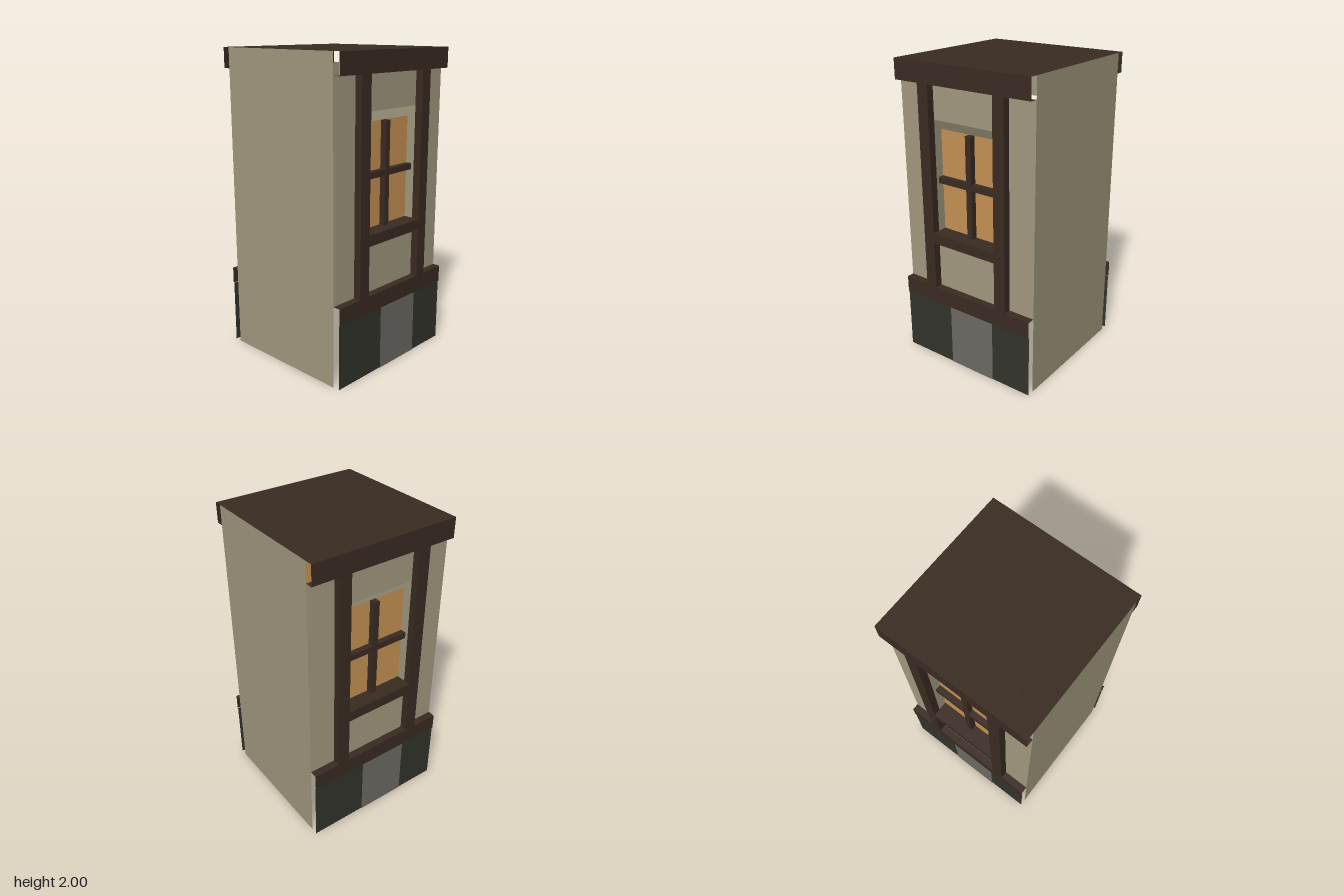
import * as THREE from 'three';
import { mergeGeometries } from 'three/addons/utils/BufferGeometryUtils.js';

const material = (name, color) => new THREE.MeshStandardMaterial({ name, color, side: THREE.DoubleSide });

// Flat rectangles facing x, y or z
const faceX = (x, y0, y1, z0, z1) =>
  new THREE.PlaneGeometry(z1 - z0, y1 - y0).rotateY(Math.PI / 2).translate(x, (y0 + y1) / 2, (z0 + z1) / 2);
const faceY = (y, x0, x1, z0, z1) =>
  new THREE.PlaneGeometry(x1 - x0, z1 - z0).rotateX(-Math.PI / 2).translate((x0 + x1) / 2, y, (z0 + z1) / 2);
const faceZ = (z, x0, x1, y0, y1) =>
  new THREE.PlaneGeometry(x1 - x0, y1 - y0).translate((x0 + x1) / 2, (y0 + y1) / 2, z);
const box = (x0, x1, y0, y1, z0, z1) =>
  new THREE.BoxGeometry(x1 - x0, y1 - y0, z1 - z0).translate((x0 + x1) / 2, (y0 + y1) / 2, (z0 + z1) / 2);

export function createModel() {
  const plaster = material('plaster', 0xa39a80);
  const timber = material('dark timber', 0x3a2c22);
  const glass = material('amber glass', 0xc89355);
  const darkStone = material('dark stone', 0x33342c);
  const greyStone = material('grey stone', 0x6d6b65);

  const part = (group, name, mat, ...geometries) => {
    const mesh = new THREE.Mesh(mergeGeometries(geometries), mat);
    mesh.name = name;
    group.add(mesh);
  };

  const wall = 0.45, out = 0.5, pane = 0.39;

  // One half: an end wall and a timber-framed window side
  function half(name) {
    const g = new THREE.Group();
    g.name = name;

    part(g, 'endWall', plaster, faceZ(0.5, -wall, wall, 0, 2));

    // Plaster infill between the timbers
    part(g, 'plasterInfill', plaster,
      faceX(wall, 0.53, 1.87, 0.32, 0.5),
      faceX(wall, 0.53, 1.87, -0.5, -0.32),
      faceX(wall, 0.53, 0.85, -0.24, 0.24),
      faceX(wall, 1.65, 1.87, -0.24, 0.24));
    part(g, 'windowReveals', plaster, ...[-0.24, 0.24].map(z => faceZ(z, pane, wall, 0.92, 1.65)));

    // Beams have open ends so that segments can butt together
    part(g, 'topBeam', timber, faceX(out, 1.87, 2, -0.5, 0.5), faceY(1.87, wall, out, -0.5, 0.5));
    part(g, 'lowerBeam', timber, faceX(out, 0.42, 0.53, -0.5, 0.5), faceY(0.53, wall, out, -0.5, 0.5));
    for (const s of [-1, 1]) {
      part(g, 'post', timber,
        faceX(out, 0.53, 1.87, s * 0.28 - 0.04, s * 0.28 + 0.04),
        faceZ(s * 0.32, wall, out, 0.53, 1.87),
        faceZ(s * 0.24, wall, out, 0.53, 1.87));
    }
    part(g, 'windowSill', timber,
      faceX(out, 0.85, 0.92, -0.24, 0.24),
      faceY(0.92, pane, out, -0.24, 0.24),
      faceY(0.85, wall, out, -0.24, 0.24));

    // Recessed pane with crossing glazing bars
    part(g, 'windowPane', glass, faceX(pane, 0.92, 1.58, -0.24, 0.24));
    part(g, 'glazingBars', timber,
      box(pane, 0.43, 0.92, 1.58, -0.02, 0.02),
      box(pane, 0.43, 1.24, 1.28, -0.24, 0.24));

    // Stone footing with a paler block in the middle
    part(g, 'stoneFooting', darkStone, faceX(0.494, 0, 0.42, -0.5, 0.5));
    part(g, 'paleStoneBlock', greyStone, faceX(0.498, 0, 0.42, -0.22, 0.12));
    return g;
  }

  const model = new THREE.Group();
  model.name = 'framedWallSegment';
  const first = half('frontHalf');
  const second = half('backHalf');
  second.rotation.y = Math.PI;
  model.add(first, second);

  part(model, 'roof', timber, faceY(2, -0.5, 0.5, -0.5, 0.5));
  return model;
}
